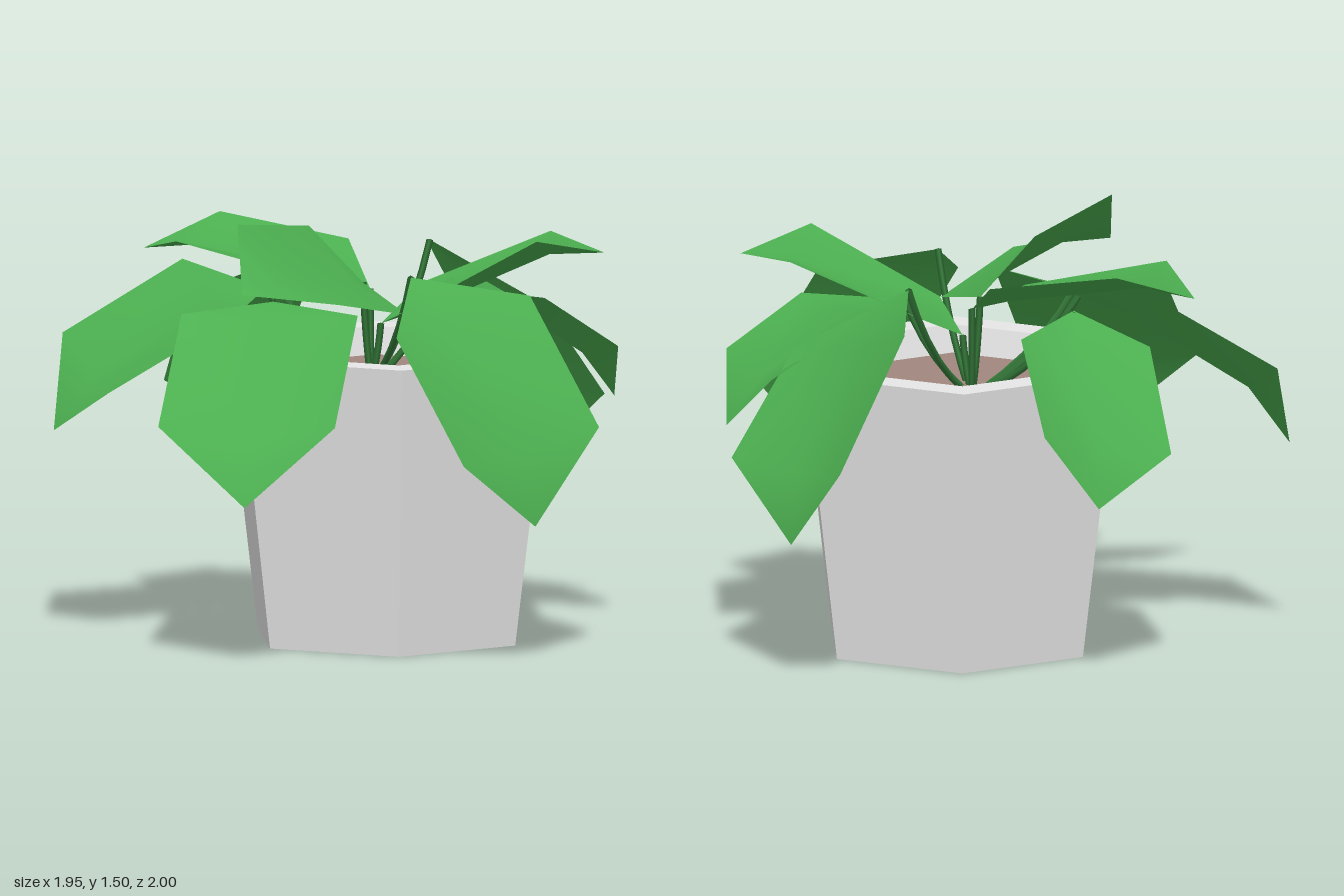
import * as THREE from 'three';

const potGrey = new THREE.MeshStandardMaterial({ color: 0xe8e8e8, flatShading: true, side: THREE.DoubleSide });
potGrey.name = 'pot grey';
const soilBrown = new THREE.MeshStandardMaterial({ color: 0xa1887f, side: THREE.DoubleSide });
soilBrown.name = 'soil brown';
const leafGreen = new THREE.MeshStandardMaterial({ color: 0x4caf50, side: THREE.DoubleSide });
leafGreen.name = 'leaf green';
const stemGreen = new THREE.MeshStandardMaterial({ color: 0x337638, side: THREE.DoubleSide });
stemGreen.name = 'stem green';

const POT_X = 0.168;
const SOIL_Y = 0.92;

// Each leaf outline runs: base, shoulder, side, tip, side, shoulder
const LEAVES = {
  backRight: [[0.35, 1.33, -0.37], [0.38, 1.26, -0.79], [0.61, 0.82, -1.0], [0.77, 0.52, -0.76], [0.965, 0.77, -0.49], [0.74, 1.11, -0.28]],
  backLeft: [[-0.22, 1.25, -0.36], [-0.03, 1.2, -0.59], [-0.1, 0.92, -0.89], [-0.29, 0.65, -0.82], [-0.545, 0.81, -0.67], [-0.48, 1.14, -0.45]],
  upperLeft: [[0.12, 1.2, -0.1], [0.07, 1.335, -0.39], [-0.36, 1.41, -0.57], [-0.635, 1.305, -0.435], [-0.55, 1.37, -0.12], [-0.07, 1.25, 0.055]],
  left: [[-0.25, 1.22, 0], [-0.51, 1.28, -0.33], [-0.925, 1.03, -0.32], [-0.975, 0.72, -0.1], [-0.815, 0.89, 0.215], [-0.39, 1.14, 0.205]],
  frontLeft: [[-0.24, 1.2, 0.19], [-0.57, 1.18, 0.33], [-0.685, 0.845, 0.73], [-0.4, 0.58, 0.885], [-0.09, 0.86, 0.92], [0.02, 1.2, 0.56]],
  upperFront: [[0.09, 1.23, -0.045], [0.215, 1.16, 0.27], [-0.05, 1.25, 0.65], [-0.385, 1.285, 0.625], [-0.38, 1.495, 0.37], [-0.1, 1.435, -0.01]],
  frontRight: [[0.22, 1.305, 0.38], [0.63, 1.24, 0.4], [0.85, 0.81, 0.62], [0.615, 0.49, 0.79], [0.35, 0.73, 0.995], [0.135, 1.15, 0.78]],
  upperRight: [[0.15, 1.09, -0.02], [0.22, 1.17, 0.24], [0.66, 1.415, 0.315], [0.91, 1.35, 0.14], [0.75, 1.385, -0.165], [0.31, 1.2, -0.24]],
  right: [[0.35, 1.22, -0.02], [0.46, 1.24, -0.29], [0.82, 1.02, -0.38], [0.97, 0.81, -0.16], [0.96, 1.02, 0.115], [0.7, 1.2, 0.18]],
};

// Blade cupped along its midrib, with its upper face up
function makeLeaf(points) {
  let area = 0;
  points.forEach((p, i) => {
    const q = points[(i + 1) % points.length];
    area += p[2] * q[0] - q[2] * p[0];
  });
  const outline = (area > 0 ? points : [points[0], ...points.slice(1).reverse()])
    .map((p) => new THREE.Vector3(...p));
  const [base, shoulderA, sideA, tip, sideB, shoulderB] = outline;
  const up = tip.clone().sub(base).cross(sideB.clone().sub(sideA)).normalize();
  const rib = (a, b, dip) => a.clone().lerp(b, 0.5).addScaledVector(up, -dip);
  const geometry = new THREE.BufferGeometry().setFromPoints(
    [...outline, rib(shoulderA, shoulderB, 0.05), rib(sideA, sideB, 0.065)]);
  geometry.setIndex([0, 1, 6, 0, 6, 5, 1, 2, 7, 1, 7, 6, 6, 7, 4, 6, 4, 5, 2, 3, 7, 7, 3, 4]);
  geometry.computeVertexNormals();
  return new THREE.Mesh(geometry, leafGreen);
}

// Thin stem that leans outward, then rises to the leaf base
function makeStem(base) {
  const end = new THREE.Vector3(...base);
  const root = new THREE.Vector3(0.12, SOIL_Y - 0.02, -0.05);
  root.x += (end.x - root.x) * 0.1;
  root.z += (end.z - root.z) * 0.1;
  const bend = root.clone().lerp(end, 0.65);
  bend.y = root.y + (end.y - root.y) * 0.38;
  const curve = new THREE.QuadraticBezierCurve3(root, bend, end);
  return new THREE.Mesh(new THREE.TubeGeometry(curve, 5, 0.012, 4), stemGreen);
}

export function createModel() {
  const model = new THREE.Group();
  model.name = 'pottedPlant';

  // Tapered six-sided pot, open below, with a flat rim and inner wall
  const profile = [[0.49, 0], [0.62, 1.015], [0.49, 1.015], [0.462, SOIL_Y - 0.01]]
    .map(([r, y]) => new THREE.Vector2(r, y));
  const pot = new THREE.Mesh(new THREE.LatheGeometry(profile, 6), potGrey);
  pot.name = 'pot';
  pot.position.x = POT_X;
  model.add(pot);

  // Soil surface
  const soil = new THREE.Mesh(new THREE.CircleGeometry(0.464, 6, Math.PI / 2), soilBrown);
  soil.name = 'soil';
  soil.rotation.x = -Math.PI / 2;
  soil.position.set(POT_X, SOIL_Y, 0);
  model.add(soil);

  // Leaves and their stems
  for (const [name, points] of Object.entries(LEAVES)) {
    const leaf = makeLeaf(points);
    leaf.name = name + 'Leaf';
    const stem = makeStem(points[0]);
    stem.name = name + 'Stem';
    model.add(leaf, stem);
  }
  return model;
}
